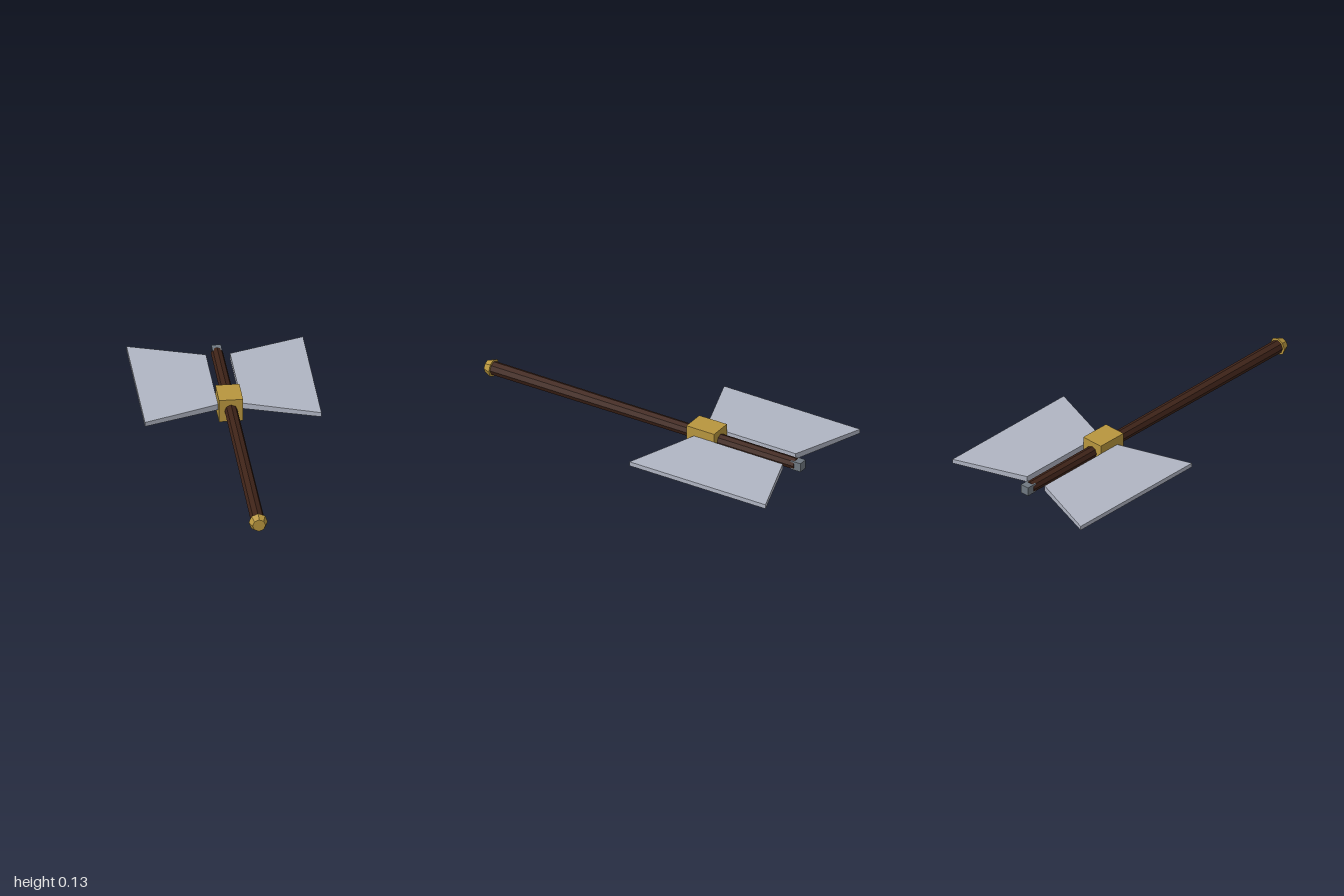
import * as THREE from 'three';

const AXIS_Y = 0.063;

function makeMaterial(name, color) {
  const m = new THREE.MeshStandardMaterial({ color, flatShading: true });
  m.name = name;
  return m;
}

export function createModel() {
  const group = new THREE.Group();
  group.name = 'doubleAxe';
  const steel = makeMaterial('bladeSteel', 0xb0b5c3);
  const darkSteel = makeMaterial('darkSteel', 0x6f7881);
  const gold = makeMaterial('gold', 0xb8963e);
  const wood = makeMaterial('darkWood', 0x3e2318);

  const add = (name, geometry, material, z = 0) => {
    const mesh = new THREE.Mesh(geometry, material);
    mesh.name = name;
    mesh.position.set(0, AXIS_Y, z);
    group.add(mesh);
    return mesh;
  };

  // Octagonal rod along z, from zBack to zFront
  const rod = (name, rFront, rBack, zFront, zBack, material) =>
    add(name, new THREE.CylinderGeometry(rFront, rBack, zFront - zBack, 8).rotateX(Math.PI / 2),
      material, (zFront + zBack) / 2);

  // Shaft and its fittings
  rod('handle', 0.037, 0.032, 0.965, -0.9, wood);
  rod('pommel', 0.034, 0.05, 1, 0.96, gold);
  add('collar', new THREE.BoxGeometry(0.126, 0.126, 0.17), gold, -0.348);
  add('tip', new THREE.BoxGeometry(0.05, 0.05, 0.06), darkSteel, -0.91);

  // Blades flare outward and thin slightly toward the cutting edge
  const inner = { x: 0.063, halfY: 0.016, halfZ: 0.273 };
  const outer = { x: 0.462, halfY: 0.012, halfZ: 0.418 };
  for (const side of [1, -1]) {
    const geometry = new THREE.BoxGeometry(2, 2, 2);
    const p = geometry.attributes.position;
    for (let i = 0; i < p.count; i++) {
      const end = p.getX(i) * side > 0 ? outer : inner;
      p.setXYZ(i, side * end.x, p.getY(i) * end.halfY, p.getZ(i) * end.halfZ);
    }
    geometry.computeVertexNormals();
    add(side > 0 ? 'leftBlade' : 'rightBlade', geometry, steel, -0.582);
  }
  return group;
}
